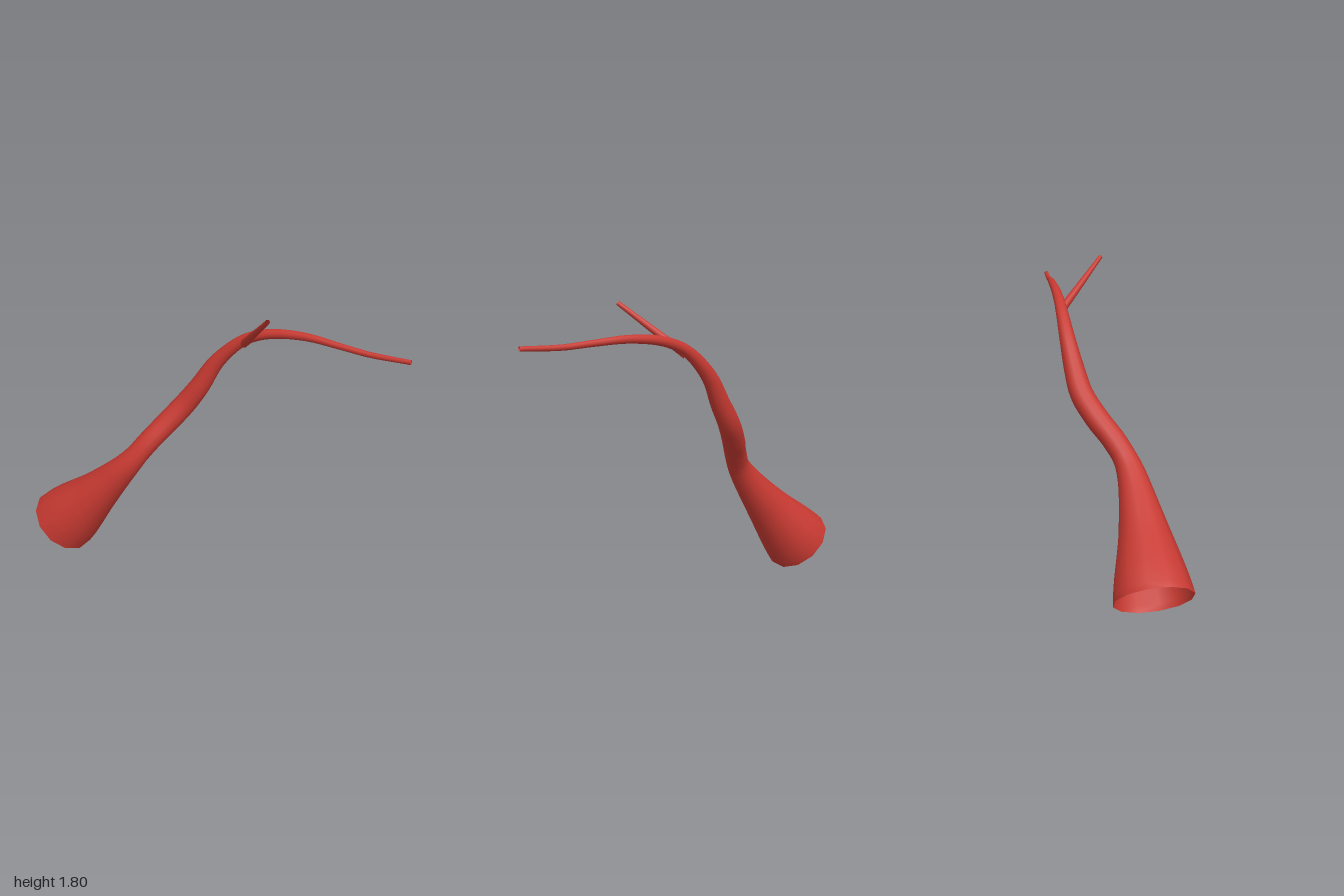
import * as THREE from 'three';

const red = new THREE.MeshStandardMaterial({ color: 0xc83a32, side: THREE.DoubleSide });
red.name = 'red';

// Open tube swept along stations of [x, y, z, radius]
function taperedTube(name, stations, rings, sides = 12) {
  const path = new THREE.CatmullRomCurve3(stations.map(([x, y, z]) => new THREE.Vector3(x, y, z)));
  const radius = new THREE.SplineCurve(stations.map((s) => new THREE.Vector2(s[3], 0)));
  const frames = path.computeFrenetFrames(rings);
  const position = [];
  const index = [];
  for (let i = 0; i <= rings; i++) {
    const t = path.getUtoTmapping(i / rings);
    const centre = path.getPoint(t);
    const r = radius.getPoint(t).x;
    for (let j = 0; j < sides; j++) {
      const a = (j / sides) * Math.PI * 2;
      const p = centre.clone()
        .addScaledVector(frames.normals[i], r * Math.cos(a))
        .addScaledVector(frames.binormals[i], r * Math.sin(a));
      position.push(p.x, p.y, p.z);
      if (i < rings) {
        const k = (j + 1) % sides;
        const [p0, p1, q0, q1] = [i * sides + j, i * sides + k, (i + 1) * sides + j, (i + 1) * sides + k];
        index.push(p0, p1, q0, p1, q1, q0);
      }
    }
  }
  const geometry = new THREE.BufferGeometry();
  geometry.setAttribute('position', new THREE.Float32BufferAttribute(position, 3));
  geometry.setIndex(index);
  geometry.computeVertexNormals();
  const mesh = new THREE.Mesh(geometry, red);
  mesh.name = name;
  return mesh;
}

export function createModel() {
  const model = new THREE.Group();
  model.name = 'branchingVessel';

  // Flared trunk, winding up and thinning to a forward tip
  model.add(taperedTube('trunk', [
    [-0.46, 0.15, -0.83, 0.22],
    [-0.34, 0.465, -0.56, 0.132],
    [-0.22, 0.725, -0.365, 0.075],
    [-0.125, 0.85, -0.31, 0.068],
    [-0.02, 0.955, -0.27, 0.069],
    [0.085, 1.08, -0.215, 0.067],
    [0.145, 1.205, -0.15, 0.06],
    [0.205, 1.365, -0.075, 0.047],
    [0.265, 1.495, 0.03, 0.037],
    [0.305, 1.557, 0.11, 0.032],
    [0.36, 1.603, 0.23, 0.028],
    [0.44, 1.625, 0.42, 0.023],
    [0.51, 1.615, 0.62, 0.018],
    [0.57, 1.605, 0.78, 0.016],
    [0.65, 1.612, 0.995, 0.013],
  ], 72));

  // Straight side branch
  model.add(taperedTube('sideBranch', [
    [0.283, 1.515, 0.08, 0.025],
    [0.207, 1.653, 0.257, 0.019],
    [0.132, 1.793, 0.435, 0.013],
  ], 8));

  return model;
}
